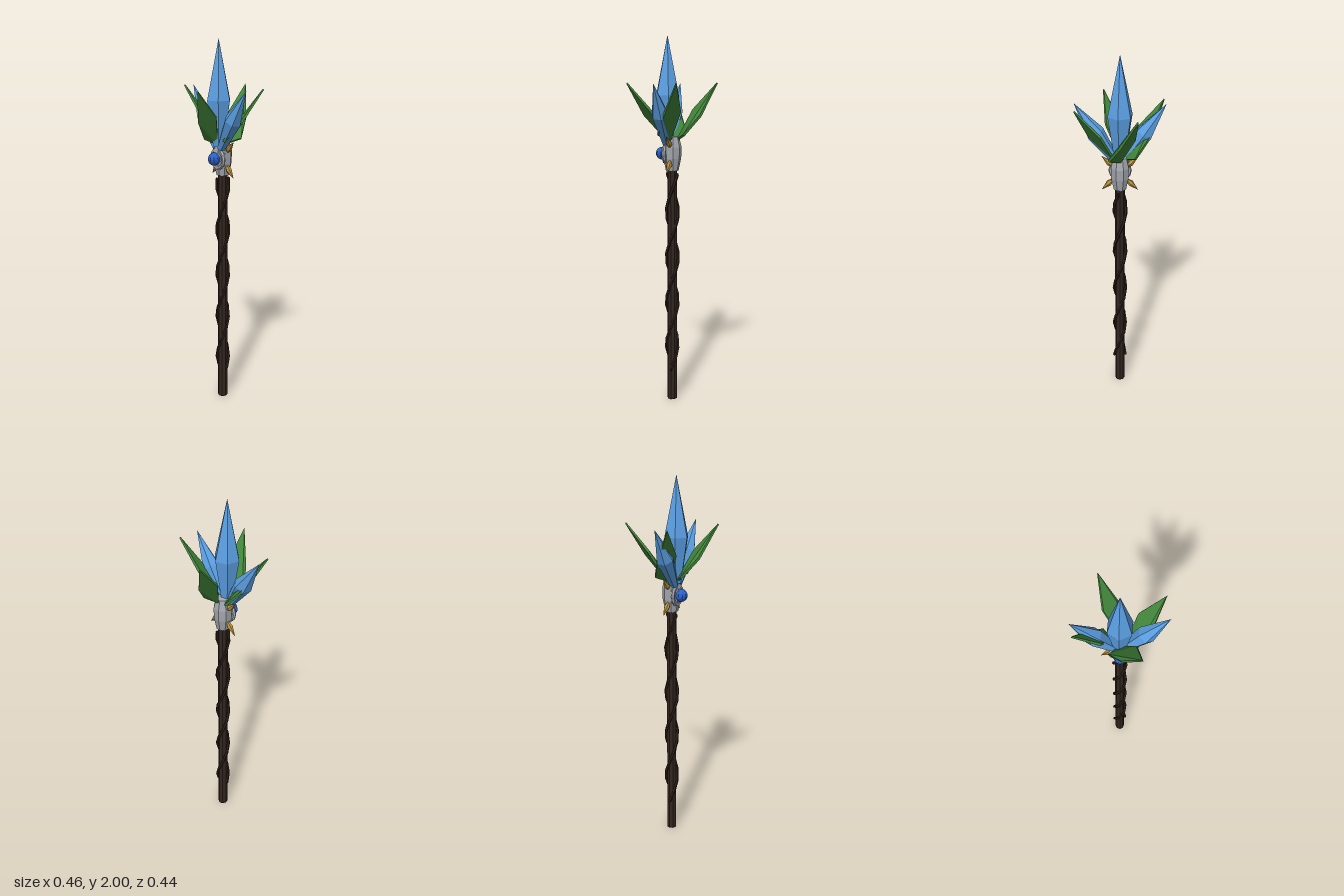
import * as THREE from 'three';
import { ConvexGeometry } from 'three/addons/geometries/ConvexGeometry.js';

const V = (x, y, z) => new THREE.Vector3(x, y, z);
const flat = (color) => new THREE.MeshStandardMaterial({ color, flatShading: true });

const wood = flat(0x33261f);
const vine = flat(0x2b1f1a);
const metal = flat(0xa3a8ae);
const gold = flat(0xb58f3c);
const ice = flat(0x5b9fe2);
const leafGreen = flat(0x41843a);
const gemBlue = flat(0x2a62cc);

function lathe(points, sides, phi = 0) {
  return new THREE.LatheGeometry(points.map(([r, y]) => new THREE.Vector2(r, y)), sides, phi);
}

export function createModel() {
  const model = new THREE.Group();
  const add = (name, geometry, material) => {
    const mesh = new THREE.Mesh(geometry, material);
    mesh.name = name;
    model.add(mesh);
    return mesh;
  };
  // Stand a y-up part on a base point and lean it toward a target
  const aim = (mesh, from, to) => {
    mesh.position.copy(from);
    mesh.quaternion.setFromUnitVectors(V(0, 1, 0), to.clone().sub(from).normalize());
  };

  // Shaft
  add('shaft', new THREE.CylinderGeometry(0.026, 0.027, 1.31, 8), wood).position.y = 0.655;

  // Two vines winding up the shaft, made of straight segments
  for (const start of [0, Math.PI]) {
    const path = new THREE.CurvePath();
    const points = [];
    for (let i = 0; i <= 18; i++) {
      const y = 0.18 + i * 0.0608;
      const a = start + Math.PI / 2 + ((y - 0.42) / 0.25) * Math.PI;
      points.push(V(0.033 * Math.sin(a), y, 0.033 * Math.cos(a)));
    }
    for (let i = 1; i < points.length; i++) path.add(new THREE.LineCurve3(points[i - 1], points[i]));
    add('vine', new THREE.TubeGeometry(path, 18, 0.0085, 5), vine);
    for (const p of [points[0], points[18]]) {
      add('vineEnd', new THREE.IcosahedronGeometry(0.0085, 0), vine).position.copy(p);
    }
  }

  // Faceted socket that holds the crystals
  add('socket', lathe([[0, 1.295], [0.034, 1.295], [0.048, 1.36], [0.05, 1.42],
    [0.036, 1.475], [0, 1.48]], 8, Math.PI / 8), metal);

  // Ring and round gem on the front
  add('gemRing', new THREE.TorusGeometry(0.05, 0.011, 6, 12), metal).position.set(0, 1.385, 0.032);
  add('gem', new THREE.SphereGeometry(0.034, 10, 8), gemBlue).position.set(0, 1.385, 0.056);

  // Four gold thorns on the diagonals
  for (const sx of [-1, 1]) {
    for (const sy of [-1, 1]) {
      const thorn = add('thorn', lathe([[0, 0], [0.009, 0.02], [0.016, 0.045], [0, 0.1]], 6), gold);
      aim(thorn, V(sx * 0.025, 1.385 + sy * 0.026, 0), V(sx * 0.094, 1.385 + sy * 0.096, 0));
    }
  }

  // Tall central crystal and two leaning side crystals
  const phi = THREE.MathUtils.degToRad(52);
  add('centralCrystal', lathe([[0, 0], [0.03, 0], [0.067, 0.24], [0, 0.55]], 6, phi), ice)
    .position.set(0, 1.45, 0.026);
  for (const s of [-1, 1]) {
    const crystal = add('sideCrystal', lathe([[0, 0], [0.022, 0], [0.047, 0.185], [0, 0.377]], 6, phi), ice);
    aim(crystal, V(s * 0.02, 1.44, 0.026), V(s * 0.23, 1.753, 0.026));
  }

  // Four thin twisted leaves, each a quarter turn from the last
  const outline = [V(0.09, 1.755, 0.22), V(0, 1.587, 0.155), V(-0.055, 1.487, 0.08),
    V(0, 1.46, 0.03), V(0.075, 1.614, 0.095)];
  const normal = V(0.63, -0.55, 0.54).normalize();
  const leafPoints = [];
  outline.forEach((p, i) => {
    const half = i === 0 ? 0.004 : 0.007;
    for (const s of [-half, half]) leafPoints.push(p.clone().addScaledVector(normal, s));
  });
  const leafGeometry = new ConvexGeometry(leafPoints);
  for (let i = 0; i < 4; i++) {
    add('leaf', leafGeometry, leafGreen).rotation.y = (i * Math.PI) / 2;
  }

  return model;
}
